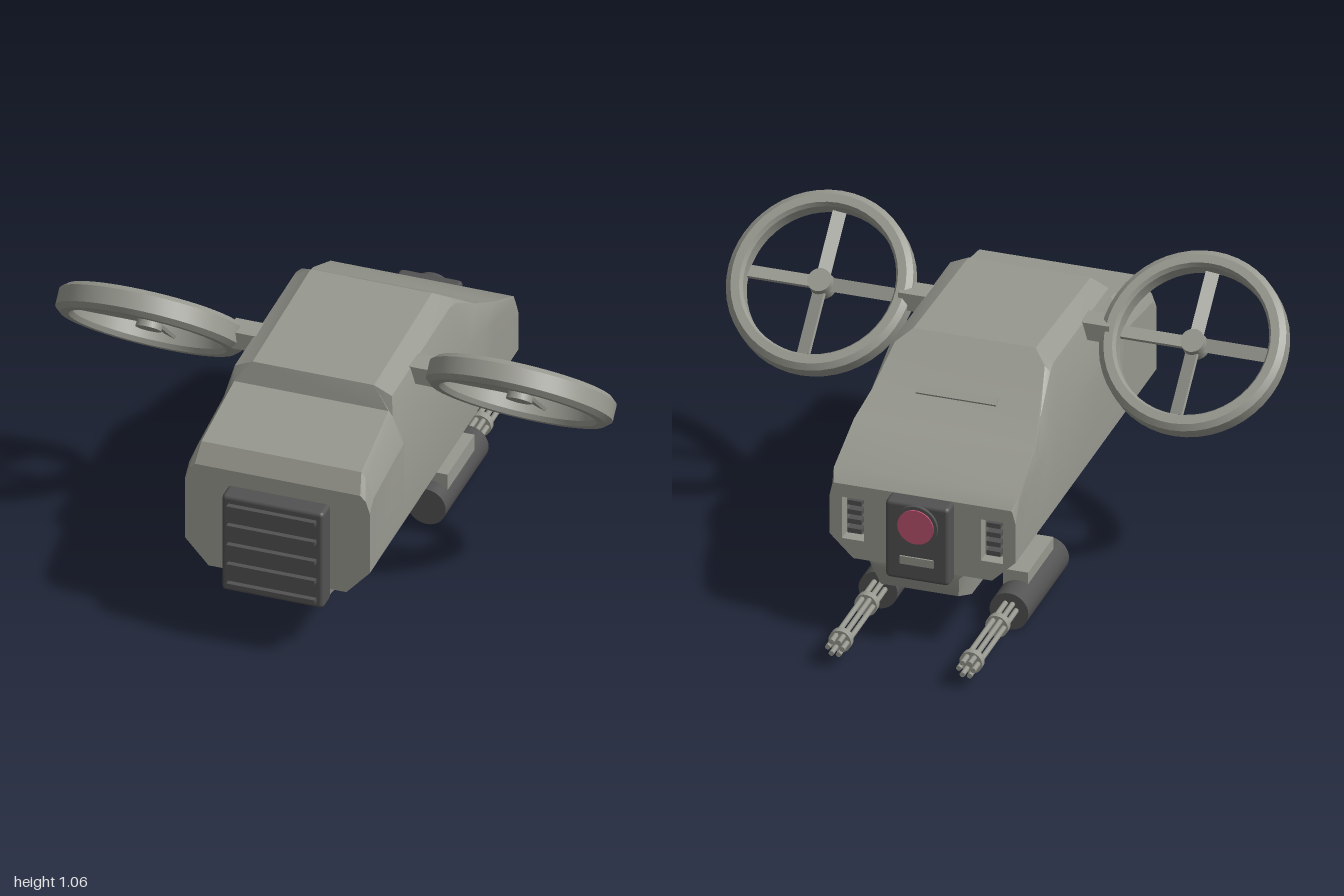
import * as THREE from 'three';
import { toCreasedNormals } from 'three/addons/utils/BufferGeometryUtils.js';
import { RoundedBoxGeometry } from 'three/addons/geometries/RoundedBoxGeometry.js';

const paint = (name, color) => {
  const m = new THREE.MeshStandardMaterial({ color });
  m.name = name;
  return m;
};

// Mirror a half outline (top to bottom) into a full ring
const ringOf = (half) => [...half, ...half.slice().reverse().map(([x, y]) => [-x, y])];

// Skin a list of [z, half outline] sections, ordered from +z to -z
function loft(sections, closeEnd = true) {
  const pos = [], idx = [];
  const rings = sections.map(([z, half]) => ringOf(half).map(([x, y]) => [x, y, z]));
  const n = rings[0].length;
  rings.forEach((r) => r.forEach((p) => pos.push(...p)));
  for (let j = 0; j < rings.length - 1; j++) {
    for (let i = 0; i < n; i++) {
      const a = j * n + i, b = j * n + (i + 1) % n;
      idx.push(a, b, a + n, b, b + n, a + n);
    }
  }
  const last = (rings.length - 1) * n;
  for (let i = 1; i < n - 1; i++) {
    idx.push(0, i + 1, i);
    if (closeEnd) idx.push(last, last + i, last + i + 1);
  }
  const g = new THREE.BufferGeometry();
  g.setAttribute('position', new THREE.Float32BufferAttribute(pos, 3));
  g.setIndex(idx);
  return toCreasedNormals(g, 0.35);
}

export function createModel() {
  const model = new THREE.Group();
  const hullGrey = paint('hull grey', 0x97988f);
  const darkGrey = paint('dark grey', 0x525252);
  const lensRed = paint('lens red', 0xbe5470);

  const add = (name, geo, mat, x = 0, y = 0, z = 0, parent = model) => {
    const m = new THREE.Mesh(geo, mat);
    m.name = name;
    m.position.set(x, y, z);
    parent.add(m);
    return m;
  };
  const box = (w, h, d) => new THREE.BoxGeometry(w, h, d);
  const rod = (r, len, sides = 24) => new THREE.CylinderGeometry(r, r, len, sides).rotateX(Math.PI / 2);

  // Main hull: top edge, shoulder, upper side, lower side, bottom edge
  const hull = [
    [0.84, 0.30, 0.665, 0.32, 0.645, 0.60],
    [0.80, 0.29, 0.735, 0.305, 0.715, 0.64],
    [0.50, 0.28, 0.80, 0.295, 0.78, 0.68],
    [0.48, 0.22, 0.88, 0.285, 0.85, 0.68],
    [-0.10, 0.22, 0.905, 0.285, 0.86, 0.68],
    [-0.15, 0.27, 0.868, 0.29, 0.85, 0.68],
    [-0.30, 0.30, 0.76, 0.305, 0.75, 0.66],
    [-0.42, 0.325, 0.70, 0.328, 0.692, 0.62],
    [-0.61, 0.332, 0.61, 0.335, 0.60, 0.56],
    [-0.65, 0.32, 0.57, 0.325, 0.56, 0.52],
  ].map(([z, a, yt, b, ys, ym]) => {
    const rise = (0.84 - z) * 0.016;
    return [z, [[a, yt], [b, ys], [0.335, ym], [0.335, 0.36 + rise / 2], [0.25, 0.265 + rise]]];
  });
  add('hull', loft(hull, false), hullGrey);

  // Nose face with two recessed vents
  const ring = ringOf(hull[hull.length - 1][1]);
  const face = new THREE.Shape(ring.map(([x, y]) => new THREE.Vector2(x, y)));
  for (const s of [-1, 1]) {
    const hole = new THREE.Path();
    hole.moveTo(s * 0.25 - 0.04, 0.36);
    hole.lineTo(s * 0.25 + 0.04, 0.36);
    hole.lineTo(s * 0.25 + 0.04, 0.52);
    hole.lineTo(s * 0.25 - 0.04, 0.52);
    hole.closePath();
    face.holes.push(hole);
  }
  add('noseFace', new THREE.ExtrudeGeometry(face, { depth: 0.05, bevelEnabled: false }), hullGrey, 0, 0, -0.65);
  for (const s of [-1, 1]) {
    add('ventBack', box(0.1, 0.18, 0.01), hullGrey, s * 0.25, 0.44, -0.595);
    for (let i = 0; i < 4; i++) {
      add('ventSlat', box(0.05, 0.018, 0.035), darkGrey, s * 0.25, 0.386 + i * 0.036, -0.617);
    }
  }

  // Belly keel under the hull
  const keel = [
    [0.82, 0.15, 0.21], [0.60, 0.145, 0.165], [-0.05, 0.13, 0.10],
    [-0.45, 0.13, 0.11], [-0.62, 0.14, 0.19], [-0.645, 0.15, 0.27],
  ].map(([z, w, y]) => [z, [[w + 0.03, 0.30], [w, y]]]);
  add('belly', loft(keel), hullGrey, 0.02);

  // Sloping screen hatch
  const hatch = add('hatch', box(0.29, 0.012, 0.03), hullGrey, 0, 0.775, -0.285);
  hatch.rotation.x = -0.62;

  // Radiator grille with raised bars
  add('grille', new RoundedBoxGeometry(0.37, 0.385, 0.08, 2, 0.015), darkGrey, 0.005, 0.412, 0.865);
  for (let i = 0; i < 5; i++) {
    add('grilleBar', box(0.32, 0.016, 0.025), darkGrey, 0.005, 0.255 + i * 0.078, 0.912);
  }

  // Sensor eye on the nose
  add('sensorPanel', new RoundedBoxGeometry(0.23, 0.30, 0.07, 2, 0.015), darkGrey, 0, 0.42, -0.675);
  add('sensorRim', rod(0.077, 0.02, 32), darkGrey, 0, 0.49, -0.712);
  add('sensorLens', rod(0.065, 0.02, 32), lensRed, 0, 0.49, -0.717);
  add('sensorBar', box(0.12, 0.03, 0.008), hullGrey, 0, 0.35, -0.712);

  // Ducted rotors
  const ringProfile = [
    [0.278, -0.047], [0.308, -0.047], [0.328, -0.03], [0.328, 0.03],
    [0.308, 0.047], [0.278, 0.047], [0.268, 0.03], [0.268, -0.03], [0.278, -0.047],
  ].map(([x, y]) => new THREE.Vector2(x, y));
  const ductGeo = toCreasedNormals(new THREE.LatheGeometry(ringProfile, 48), 0.4);
  for (const s of [-1, 1]) {
    add('rotorArm', box(0.11, 0.065, 0.09), hullGrey, s * 0.325, 0.825, 0.25);
    const rotor = new THREE.Group();
    rotor.name = s > 0 ? 'leftRotor' : 'rightRotor';
    rotor.position.set(s * 0.672, 0.818, 0.253);
    rotor.rotation.x = -0.75;
    model.add(rotor);
    add('duct', ductGeo, hullGrey, 0, 0, 0, rotor);
    add('hub', new THREE.CylinderGeometry(0.042, 0.046, 0.07, 24), hullGrey, 0, 0, 0, rotor);
    for (let k = 0; k < 4; k++) {
      const blade = box(0.24, 0.012, 0.048).rotateX(0.3).translate(0.14, 0, 0).rotateY(k * Math.PI / 2);
      add('blade', blade, hullGrey, 0, 0, 0, rotor);
    }
  }

  // Gun pods with six barrels each
  for (const x of [-0.25, 0.222]) {
    const gun = new THREE.Group();
    gun.name = x > 0 ? 'leftGun' : 'rightGun';
    gun.position.set(x, 0.077, 0);
    model.add(gun);
    add('pod', rod(0.07, 0.43, 32), darkGrey, 0, 0, -0.255, gun);
    add('podMount', box(0.09, 0.07, 0.27), hullGrey, 0.01, 0.07, -0.235, gun);
    for (let k = 0; k < 6; k++) {
      const a = k * Math.PI / 3;
      add('barrel', rod(0.0095, 0.46, 10), hullGrey, 0.026 * Math.cos(a), 0.008 + 0.026 * Math.sin(a), -0.695, gun);
    }
    for (const z of [-0.587, -0.86]) add('barrelCollar', rod(0.041, 0.028), hullGrey, 0, 0.008, z, gun);
  }

  return model;
}
